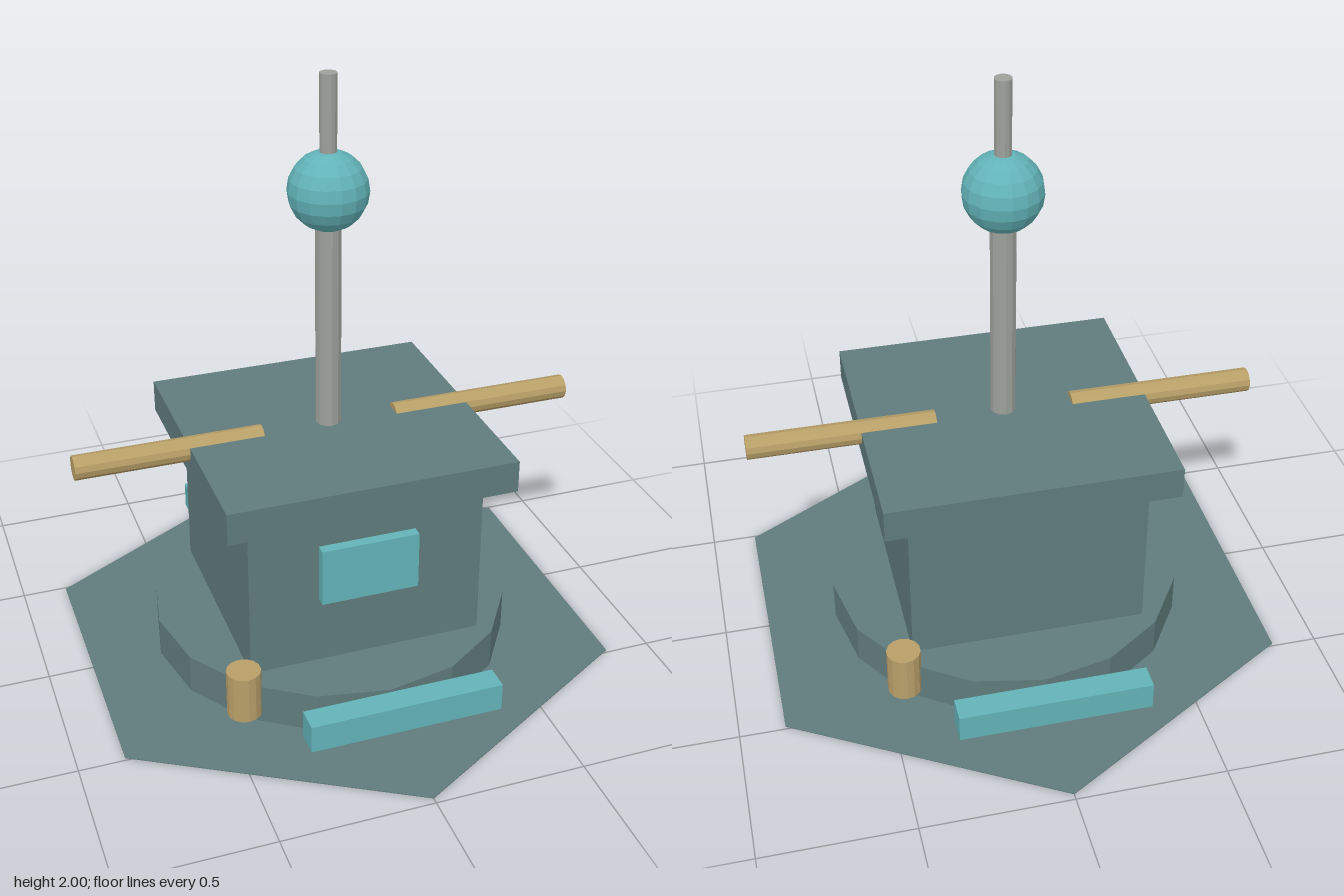
import * as THREE from 'three';

const flat = (name, color) => {
  const m = new THREE.MeshStandardMaterial({ color, flatShading: true });
  m.name = name;
  return m;
};

export function createModel() {
  const model = new THREE.Group();
  model.name = 'beaconStation';

  const slate = flat('slate', 0x607b7c);
  const aqua = flat('aqua', 0x62b3b8);
  const brass = flat('brass', 0xb89f68);
  const steel = flat('steel', 0x9da19b);

  const add = (name, geometry, material, x, y, z) => {
    const mesh = new THREE.Mesh(geometry, material);
    mesh.name = name;
    mesh.position.set(x, y, z);
    model.add(mesh);
    return mesh;
  };
  const box = (name, mat, w, h, d, x, y, z) =>
    add(name, new THREE.BoxGeometry(w, h, d), mat, x, y, z);
  const cylinder = (name, mat, r, h, sides, x, y, z) =>
    add(name, new THREE.CylinderGeometry(r, r, h, sides), mat, x, y, z);

  // Thin hexagonal ground plate and round plinth
  cylinder('groundPlate', slate, 0.98, 0.003, 6, 0, 0.0015, 0);
  cylinder('plinth', slate, 0.612, 0.138, 16, 0, 0.071, 0);

  // Square body with overhanging roof slab and front panel
  box('body', slate, 0.8, 0.56, 0.768, 0, 0.42, 0);
  box('roofSlab', slate, 0.97, 0.11, 0.925, 0, 0.755, 0);
  box('frontPanel', aqua, 0.33, 0.2, 0.04, 0, 0.48, 0.4);

  // Mast with beacon ball
  cylinder('lowerMast', steel, 0.043, 0.82, 12, 0, 1.21, 0);
  cylinder('upperMast', steel, 0.028, 0.4, 12, 0, 1.8, 0);
  add('beaconBall', new THREE.SphereGeometry(0.131, 16, 10), aqua, 0, 1.624, 0);

  // Paired parts: side rods, light bars and diagonal posts
  for (const s of [-1, 1]) {
    cylinder('sideRod', brass, 0.041, 0.63, 12, s * 0.547, 0.79, 0).rotation.z = Math.PI / 2;
    box('lightBar', aqua, 0.64, 0.095, 0.083, 0, 0.143, s * 0.723);
    cylinder('cornerPost', brass, 0.057, 0.165, 14, s * 0.44, 0.122, -s * 0.44);
  }
  return model;
}
